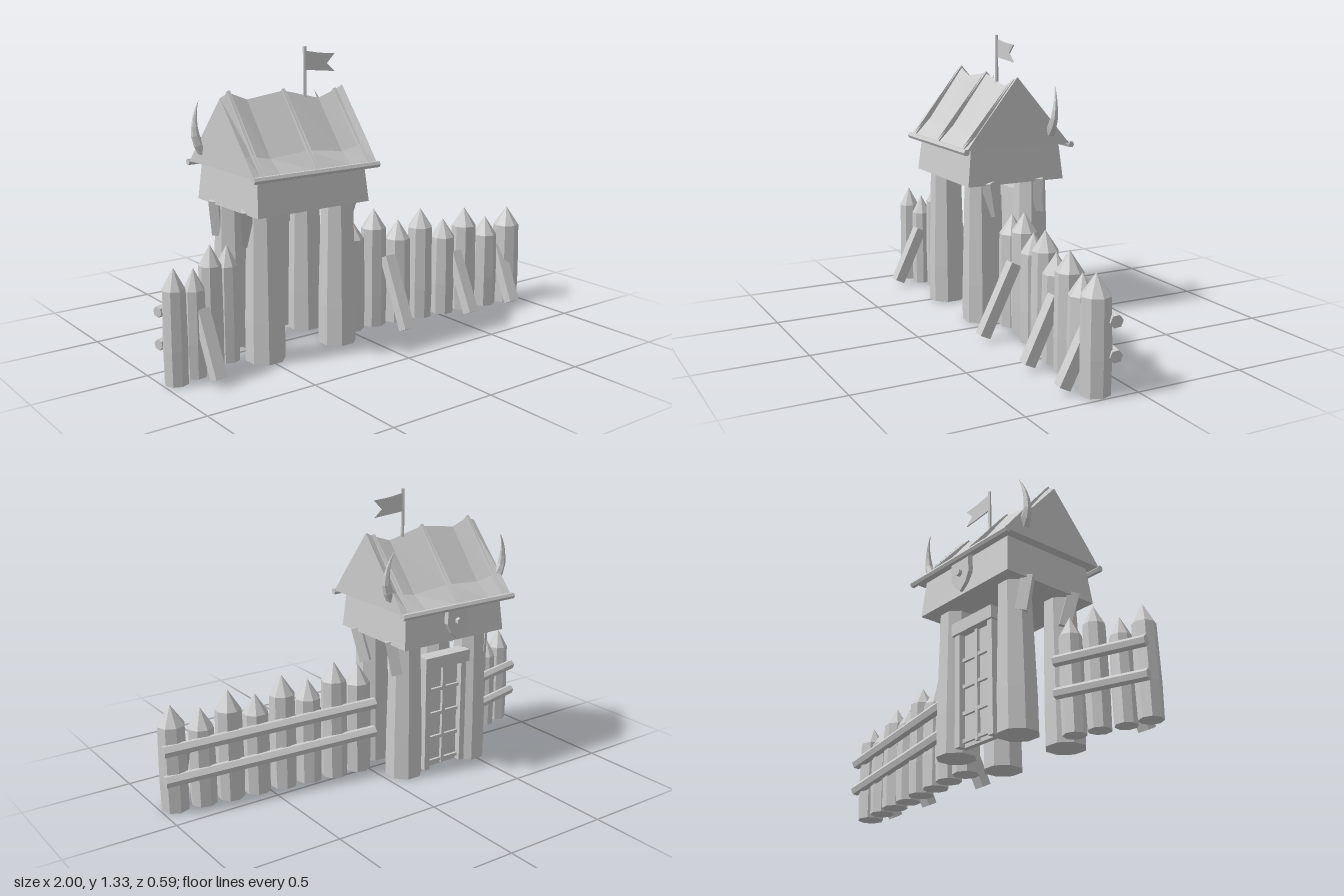
import * as THREE from 'three';

export function createModel() {
  const group = new THREE.Group();
  const grey = new THREE.MeshStandardMaterial({ color: 0xcccccc, flatShading: true, side: THREE.DoubleSide });
  grey.name = 'plain grey';
  const V = (x, y, z) => new THREE.Vector3(x, y, z);

  const add = (name, geo, x = 0, y = 0, z = 0) => {
    const m = new THREE.Mesh(geo, grey);
    m.name = name;
    m.position.set(x, y, z);
    group.add(m);
    return m;
  };
  const box = (name, x0, x1, y0, y1, z0, z1) =>
    add(name, new THREE.BoxGeometry(x1 - x0, y1 - y0, z1 - z0), (x0 + x1) / 2, (y0 + y1) / 2, (z0 + z1) / 2);
  // Round log between two points
  const log = (name, a, b, r, sides = 6) => {
    const m = add(name, new THREE.CylinderGeometry(r, r, a.distanceTo(b), sides));
    m.position.copy(a).lerp(b, 0.5);
    m.quaternion.setFromUnitVectors(V(0, 1, 0), b.clone().sub(a).normalize());
    return m;
  };
  // Square timber between two points
  const timber = (name, a, b, w, d) => {
    const m = add(name, new THREE.BoxGeometry(w, d, a.distanceTo(b)));
    m.position.copy(a).lerp(b, 0.5);
    m.lookAt(b);
    return m;
  };
  // Solid skinned through equal cross-sections placed along x
  const loft = (rows) => {
    const n = rows[0].length, idx = [], last = (rows.length - 1) * n, mid = n >> 1;
    for (let i = 0; i < rows.length - 1; i++) {
      for (let j = 0; j < n; j++) {
        const a = i * n + j, d = i * n + (j + 1) % n, b = a + n, c = d + n;
        idx.push(a, d, c, a, c, b);
      }
    }
    for (let k = 1; k < n - 1; k++) {
      const p = (mid + k) % n, q = (mid + k + 1) % n;
      idx.push(mid, q, p, last + mid, last + p, last + q);
    }
    const g = new THREE.BufferGeometry();
    g.setAttribute('position', new THREE.Float32BufferAttribute(rows.flat(2), 3));
    g.setIndex(idx);
    const flat = g.toNonIndexed();
    flat.computeVertexNormals();
    return flat;
  };

  // Tower legs, slightly tapered
  const legProfile = [[0, 0], [0.088, 0], [0.087, 0.18], [0.073, 0.67], [0, 0.67]].map(p => new THREE.Vector2(...p));
  const cx = -0.305;
  for (const s of [-1, 1]) {
    for (const z of [0.128, -0.132]) {
      const leg = add('towerLeg', new THREE.LatheGeometry(legProfile, 8), cx + s * 0.193, 0, z);
      leg.rotation.y = Math.PI / 8;
      // Knee brace under the upper box
      const lean = z > 0 ? 0.09 : 0.15;
      timber('kneeBrace', V(cx + s * 0.25, 0.51, Math.sign(z) * lean), V(cx + s * 0.275, 0.67, z), 0.045, 0.05);
    }
  }

  // Upper box, wider at the bottom
  const boxGeo = new THREE.BoxGeometry(1, 0.17, 1);
  const bp = boxGeo.attributes.position;
  for (let i = 0; i < bp.count; i++) {
    const low = bp.getY(i) < 0;
    const z = bp.getZ(i) > 0 ? (low ? 0.235 : 0.215) : (low ? -0.258 : -0.24);
    bp.setXYZ(i, Math.sign(bp.getX(i)) * (low ? 0.288 : 0.275), bp.getY(i), z);
  }
  boxGeo.computeVertexNormals();
  add('upperBox', boxGeo, cx, 0.74, 0);

  // Sagging roof: ridge height and sag at each station
  const stations = [[-0.622, 1.13, 0], [-0.58, 1.15, 0.012], [-0.49, 1.115, 0.02], [-0.305, 1.14, 0.012],
    [-0.12, 1.095, 0.02], [-0.03, 1.125, 0.012], [0.012, 1.145, 0]];
  const section = ([x, y, sag], lift = 0) => [
    [x, 0.825 + lift, -0.275],
    [x, 0.825 + (y - 0.825) * 0.28 - sag + lift, -0.197 + sag * 0.6],
    [x, y + lift, 0],
    [x, 0.825 + (y - 0.825) * 0.28 - sag + lift, 0.186 - sag * 0.6],
    [x, 0.825 + lift, 0.255]];
  add('roof', loft(stations.map(s => section(s))));

  // Roof ribs
  for (const i of [1, 3, 5]) {
    const [x, y, sag] = stations[i];
    const rows = [-0.008, 0.008].map(d => section([x + d, y, sag], 0.008));
    add('roofRib', loft(rows));
  }
  // Eave poles
  for (const z of [0.258, -0.283]) log('eavePole', V(-0.628, 0.82, z), V(0.018, 0.82, z), 0.015);

  // Curved horns on both gables
  for (const s of [-1, 1]) {
    const curve = new THREE.CatmullRomCurve3([V(s * 0.3, 0.88, -0.175), V(s * 0.332, 0.93, -0.18),
      V(s * 0.338, 0.99, -0.185), V(s * 0.328, 1.05, -0.193), V(s * 0.305, 1.105, -0.2)]);
    const segs = 6, sides = 6;
    const geo = new THREE.TubeGeometry(curve, segs, 0.028, sides);
    const p = geo.attributes.position;
    for (let i = 0; i <= segs; i++) {
      const c = curve.getPointAt(i / segs);
      for (let j = 0; j <= sides; j++) {
        const k = i * (sides + 1) + j;
        const v = V(0, 0, 0).fromBufferAttribute(p, k).lerp(c, i / segs);
        p.setXYZ(k, v.x, v.y, v.z);
      }
    }
    geo.computeVertexNormals();
    add('horn', geo, cx, 0, 0);
  }

  // Flag
  log('flagPole', V(-0.192, 1.06, 0), V(-0.192, 1.325, 0), 0.008);
  const flagShape = new THREE.Shape([[-0.187, 1.305], [-0.11, 1.293], [-0.03, 1.287], [-0.072, 1.245],
    [-0.03, 1.208], [-0.11, 1.215], [-0.187, 1.222]].map(p => new THREE.Vector2(...p)));
  add('flag', new THREE.ExtrudeGeometry(flagShape, { depth: 0.006, bevelEnabled: false }), 0, 0, -0.006);

  // Gate with frame and panel bars on the back
  box('gatePanel', -0.425, -0.185, 0.012, 0.57, -0.17, -0.145);
  box('gateLintel', -0.435, -0.175, 0.515, 0.572, -0.212, -0.14);
  for (const x of [-0.425, -0.215]) box('gateJamb', x, x + 0.03, 0.012, 0.52, -0.2, -0.15);
  box('gateBar', -0.313, -0.297, 0.02, 0.52, -0.185, -0.16);
  for (const y of [0.03, 0.15, 0.27, 0.39]) box('gateRail', -0.4, -0.21, y, y + 0.016, -0.183, -0.16);

  // Shield on the back of the upper box
  const shield = new THREE.Shape([[-0.055, 0.825], [0, 0.81], [0.055, 0.825], [0.058, 0.74], [0.035, 0.695],
    [0, 0.665], [-0.035, 0.695], [-0.058, 0.74]].map(p => new THREE.Vector2(...p)));
  add('shield', new THREE.ExtrudeGeometry(shield, { depth: 0.025, bevelEnabled: false }), cx, 0, -0.272);
  log('shieldBoss', V(cx, 0.75, -0.265), V(cx, 0.75, -0.288), 0.016);

  // Palisade stakes: x, z, tip height, radius
  const stakes = [
    [-0.94, 0.145, 0.49, 0.053], [-0.837, 0.12, 0.465, 0.05], [-0.735, 0.08, 0.54, 0.052], [-0.633, 0.045, 0.515, 0.052],
    [0.035, 0.04, 0.525, 0.064], [0.162, 0.046, 0.56, 0.063], [0.29, 0.07, 0.495, 0.064], [0.417, 0.085, 0.535, 0.064],
    [0.545, 0.105, 0.47, 0.063], [0.672, 0.118, 0.51, 0.064], [0.8, 0.135, 0.45, 0.063], [0.93, 0.155, 0.485, 0.067]];
  for (const [x, z, top, r] of stakes) {
    const profile = [[0, 0], [r * 0.95, 0], [r, 0.15], [r * 0.93, top - 0.09], [0, top]].map(p => new THREE.Vector2(...p));
    const stake = add('stake', new THREE.LatheGeometry(profile, 8), x, 0, z);
    stake.rotation.y = x * 5;
  }

  // Rails behind the stakes
  for (const y of [0.16, 0.3]) {
    log('fenceRail', V(-0.007, y + 0.045, -0.042), V(0.996, y, 0.102), 0.028);
    log('fenceRail', V(-0.6, y + 0.01, -0.02), V(-0.99, y, 0.093), 0.024);
  }

  // Props leaning on the front: foot x, top x, top y, top z
  for (const [x, tx, ty, tz] of [[-0.812, -0.815, 0.29, 0.14], [0.187, 0.193, 0.34, 0.115],
    [0.592, 0.595, 0.3, 0.135], [0.872, 0.885, 0.29, 0.14]]) {
    timber('prop', V(x, 0.025, 0.268), V(tx, ty, tz), 0.055, 0.05);
  }

  return group;
}
